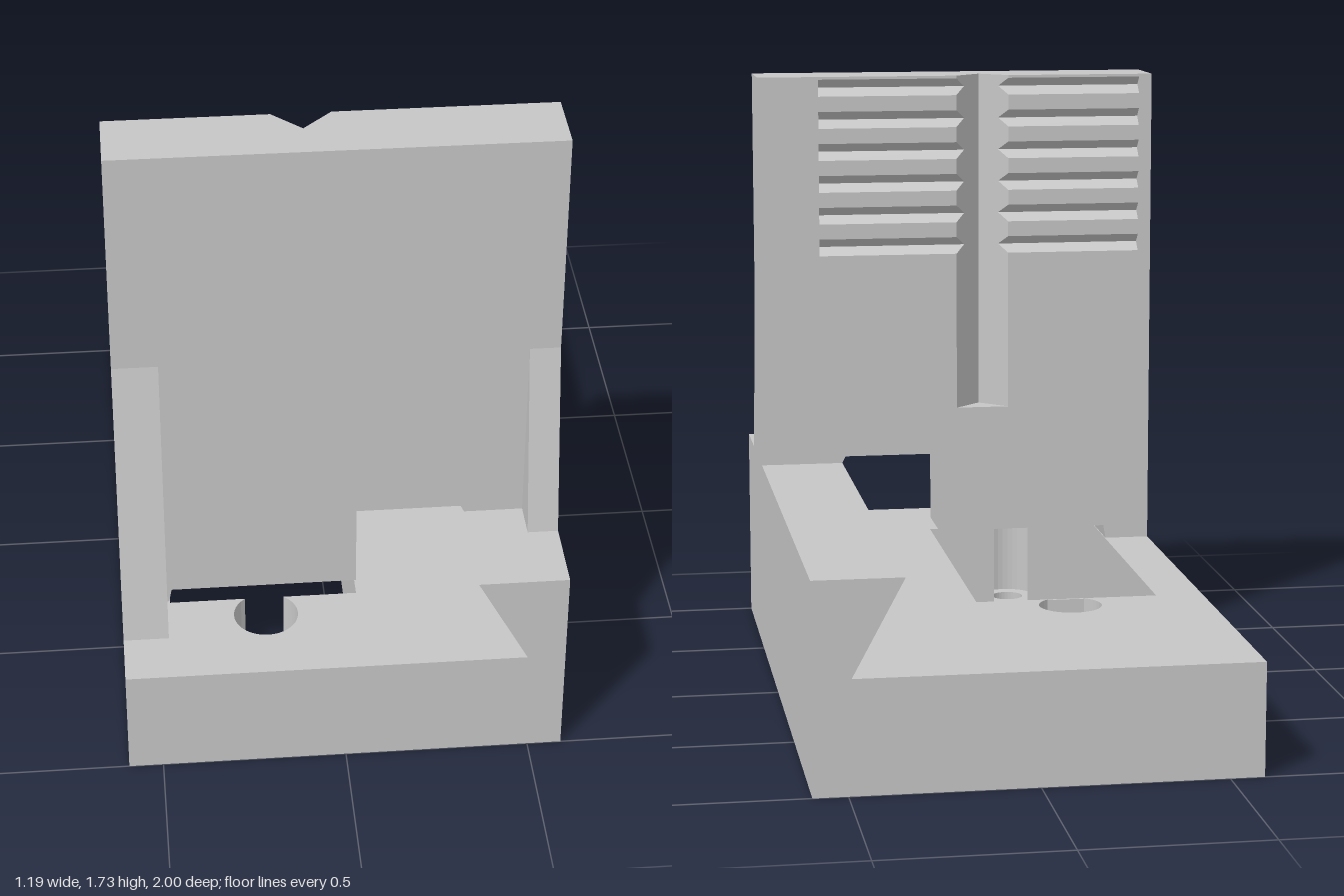
import * as THREE from 'three';

const grey = new THREE.MeshStandardMaterial({ color: 0xc6c6c6 });
grey.name = 'plain grey';

const W = 0.593;                     // half width
const BASE = 0.31;                   // top of the base plate
const TOP = 1.733;                   // top of the wall
const BACK = 0.487, FRONT = 0.683;   // wall faces in z
const WIN = { x0: -0.46, x1: 0.055, z0: -0.257, z1: 0.69 };
const BORES = [-0.328, 0.76];        // screw centres in z
const BORE_X = -0.2, BORE_R = 0.088, SCREW_R = 0.048;
const GROOVE = { x0: -0.157, x1: 0, y: 0.73, depth: 0.0785 };

const shapeOf = (pts, Type = THREE.Shape) => new Type(pts.map(([a, b]) => new THREE.Vector2(a, b)));
const rect = (x0, x1, z0, z1) => [[x0, z0], [x1, z0], [x1, z1], [x0, z1]];
const extrude = (shape, depth) => new THREE.ExtrudeGeometry(shape, { depth, bevelEnabled: false });

function arc(cz, r, from, to, n) {
  return Array.from({ length: n + 1 }, (_, i) => {
    const a = from + (to - from) * i / n;
    return [BORE_X + r * Math.cos(a), cz + r * Math.sin(a)];
  });
}

// Plan outline in (x, z) raised from y0 to y1; outline and holes wind counter-clockwise
function layer(outline, holes, y0, y1) {
  const flip = pts => pts.map(([x, z]) => [x, -z]).reverse();
  const shape = shapeOf(flip(outline));
  shape.holes = holes.map(h => shapeOf(flip(h), THREE.Path));
  return extrude(shape, y1 - y0).rotateX(-Math.PI / 2).translate(0, y0, 0);
}

// Front outline in (x, y) running from z0 to z1
const frontProfile = (pts, z0, z1) => extrude(shapeOf(pts), z1 - z0).translate(0, 0, z0);

// Side outline in (z, y) running from x0 to x1
const sideProfile = (pts, x0, x1) => extrude(shapeOf(pts), x1 - x0).rotateY(-Math.PI / 2).translate(x1, 0, 0);

// Slants the end of a geometry at x = end, so that it forms one flank of the groove
function slantEnd(geometry, end, direction) {
  const p = geometry.attributes.position;
  for (let i = 0; i < p.count; i++) {
    if (Math.abs(p.getX(i) - end) < 1e-4) p.setX(i, end + direction * (p.getZ(i) - BACK));
  }
  geometry.computeVertexNormals();
  return geometry;
}

export function createModel() {
  const model = new THREE.Group();
  model.name = 'slottedStand';
  const add = (parent, name, geometry) => {
    const mesh = new THREE.Mesh(geometry, grey);
    mesh.name = name;
    parent.add(mesh);
  };

  // Base plate: screw holes below, counterbores joined to the window above, pockets underneath
  const base = new THREE.Group();
  base.name = 'base';
  model.add(base);
  const plan = rect(-W, W, -1, 1);
  const pockets = [rect(-0.505, 0.505, -0.91, -0.51), rect(0.16, 0.49, -0.31, 0.675)];
  const screws = BORES.map(z => arc(z, SCREW_R, 0, Math.PI * 2, 32).slice(0, -1));
  const window = rect(WIN.x0, WIN.x1, WIN.z0 + 0.008, WIN.z1 - 0.008);
  const a0 = Math.asin((WIN.z0 - BORES[0]) / BORE_R);
  const a1 = Math.asin((BORES[1] - WIN.z1) / BORE_R);
  const boredWindow = [
    [WIN.x0, WIN.z0], ...arc(BORES[0], BORE_R, Math.PI - a0, Math.PI * 2 + a0, 28),
    [WIN.x1, WIN.z0], [WIN.x1, WIN.z1],
    ...arc(BORES[1], BORE_R, -a1, Math.PI + a1, 28), [WIN.x0, WIN.z1],
  ];
  add(base, 'baseBottom', layer(plan, [window, ...screws, ...pockets], 0, 0.07));
  add(base, 'baseMiddle', layer(plan, [boredWindow, ...pockets], 0.07, 0.25));
  add(base, 'baseTop', layer(plan, [boredWindow], 0.25, BASE));

  // Undercut rail along the left side
  add(model, 'rail', frontProfile([[0.49, BASE], [W, BASE], [W, 0.57], [0.35, 0.57]], -1, 1));

  // Upright wall: stepped foot and plain front slab
  const wall = new THREE.Group();
  wall.name = 'wall';
  model.add(wall);
  add(wall, 'wallFoot', frontProfile([
    [-W, BASE], [-0.462, BASE], [-0.455, 0.35], [0.055, 0.35], [0.055, 0.59], [0.34, 0.59],
    [0.35, 0.57], [W, 0.57], [W, GROOVE.y], [-W, GROOVE.y],
  ], BACK, FRONT));
  const inner = BACK + GROOVE.depth;
  add(wall, 'wallFront', frontProfile(rect(-W, W, GROOVE.y, TOP), inner, FRONT));

  // Back of the wall: V-shaped slots on both sides of the upright groove
  const plain = rect(BACK, inner, GROOVE.y, TOP);
  const notched = [[inner, GROOVE.y], [inner, TOP], [BACK, TOP]];
  for (let i = 0; i < 6; i++) {
    const y = 1.725 - i * 0.095;
    notched.push([BACK, y], [BACK + 0.027, y - 0.025], [BACK, y - 0.05]);
  }
  notched.push([BACK, GROOVE.y]);
  add(wall, 'leftEdge', sideProfile(plain, 0.413, W));
  add(wall, 'leftSlots', slantEnd(sideProfile(notched, GROOVE.x1, 0.413), GROOVE.x1, -1));
  add(wall, 'rightEdge', sideProfile(plain, -W, -0.555));
  add(wall, 'rightSlots', slantEnd(sideProfile(notched, -0.555, GROOVE.x0), GROOVE.x0, 1));

  // Sloping gussets on the front of the wall
  add(model, 'rightGusset', sideProfile([[FRONT, BASE], [0.84, BASE], [FRONT, 1.1]], -W, -0.47));
  add(model, 'leftGusset', sideProfile([[FRONT, 0.57], [0.789, 0.57], [FRONT, 1.1]], 0.51, W));

  return model;
}
